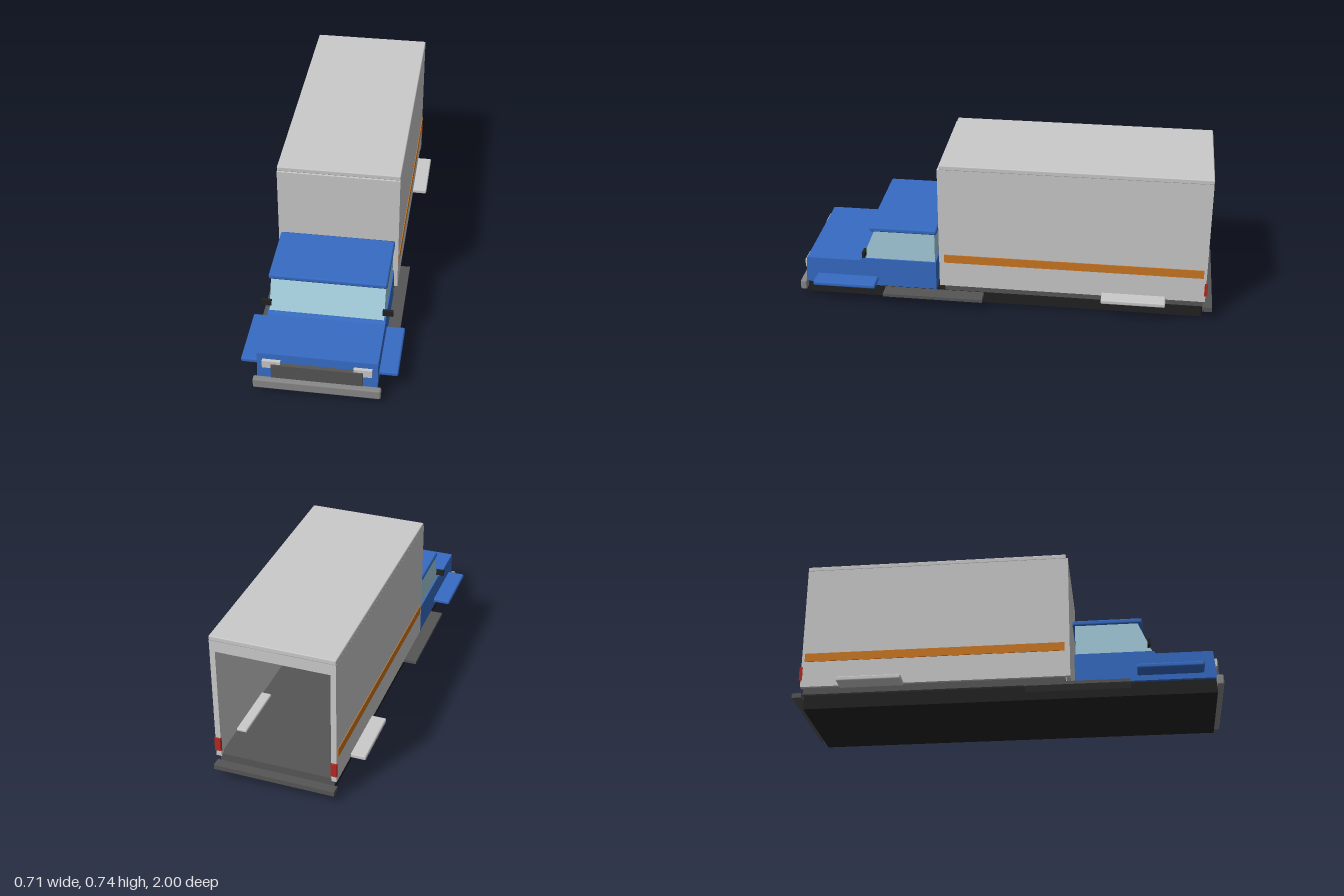
import * as THREE from 'three';
import { RoundedBoxGeometry } from 'three/addons/geometries/RoundedBoxGeometry.js';

const mat = (name, color) => {
  const m = new THREE.MeshStandardMaterial({ color });
  m.name = name;
  return m;
};

export function createModel() {
  const truck = new THREE.Group();
  truck.name = 'boxTruck';

  const blue = mat('cabBlue', 0x366bc4);
  const light = mat('lightGrey', 0xcacaca);
  const glass = mat('glass', 0xa4cedd);
  const dark = mat('darkGrey', 0x555555);
  const black = mat('black', 0x222222);
  const steel = mat('bumperGrey', 0x888888);
  const orange = mat('stripeOrange', 0xcc7722);
  const red = mat('lampRed', 0xb42a22);

  const add = (name, geometry, material) => {
    const mesh = new THREE.Mesh(geometry, material);
    mesh.name = name;
    truck.add(mesh);
    return mesh;
  };
  // Box given by its limits; a bevel above zero chamfers the edges
  const box = (name, material, [x0, x1], [y0, y1], [z0, z1], bevel = 0) => {
    const s = [x1 - x0, y1 - y0, z1 - z0];
    const g = bevel ? new RoundedBoxGeometry(...s, 1, bevel) : new THREE.BoxGeometry(...s);
    return add(name, g.translate((x0 + x1) / 2, (y0 + y1) / 2, (z0 + z1) / 2), material);
  };
  // The same box on both sides
  const pair = (name, material, [x0, x1], y, z, bevel) => {
    box(name + 'Left', material, [x0, x1], y, z, bevel);
    box(name + 'Right', material, [-x1, -x0], y, z, bevel);
  };
  // Side profile of [z, y] points, extruded across the width
  const profile = (name, material, points, halfWidth) => {
    const shape = new THREE.Shape(points.map(([z, y]) => new THREE.Vector2(-z, y)));
    const g = new THREE.ExtrudeGeometry(shape, { depth: halfWidth * 2, bevelEnabled: false });
    return add(name, g.translate(0, 0, -halfWidth).rotateY(Math.PI / 2), material);
  };

  // Chassis and bumpers
  box('chassis', black, [-0.253, 0.253], [0, 0.068], [-0.95, 0.97]);
  box('frontBumper', steel, [-0.287, 0.287], [0.026, 0.075], [0.968, 1], 0.007);
  box('rearBumper', dark, [-0.285, 0.285], [0.047, 0.07], [-1, -0.955]);
  pair('runningBoard', dark, [0.23, 0.327], [0.04, 0.055], [0.095, 0.58]);

  // Cab
  profile('cabBody', blue, [
    [0.325, 0.067], [0.972, 0.067], [0.96, 0.2], [0.7, 0.2], [0.69, 0.213], [0.325, 0.213],
  ], 0.27);
  profile('cabGlass', glass, [
    [0.33, 0.213], [0.685, 0.213], [0.622, 0.364], [0.33, 0.364],
  ], 0.263);
  box('cabRoof', blue, [-0.271, 0.271], [0.361, 0.387], [0.318, 0.645], 0.009);
  pair('frontFender', blue, [0.22, 0.355], [0.093, 0.116], [0.61, 0.915], 0.008);
  pair('mirror', black, [0.255, 0.303], [0.233, 0.262], [0.664, 0.678]);

  // Nose details
  box('grille', dark, [-0.205, 0.205], [0.083, 0.157], [0.955, 0.984]);
  pair('headlight', light, [0.163, 0.245], [0.133, 0.172], [0.955, 0.978]);

  // Cargo box, open at the rear
  box('cargoFloor', dark, [-0.27, 0.27], [0.067, 0.105], [-0.952, 0.28]);
  pair('cargoWall', light, [0.268, 0.285], [0.1, 0.716], [-0.95, 0.29]);
  box('cargoFrontWall', light, [-0.285, 0.285], [0.1, 0.716], [0.285, 0.305]);
  box('cargoRoof', light, [-0.286, 0.286], [0.714, 0.738], [-0.965, 0.296], 0.005);
  pair('rearPost', light, [0.26, 0.285], [0.1, 0.716], [-0.964, -0.94]);
  box('rearHeader', light, [-0.26, 0.26], [0.662, 0.716], [-0.964, -0.935]);
  pair('rearFender', light, [0.22, 0.355], [0.094, 0.116], [-0.778, -0.475], 0.006);
  pair('sideStripe', orange, [0.283, 0.2885], [0.228, 0.27], [-0.95, 0.28]);
  pair('tailLight', red, [0.259, 0.2875], [0.133, 0.2], [-0.972, -0.957]);

  return truck;
}
